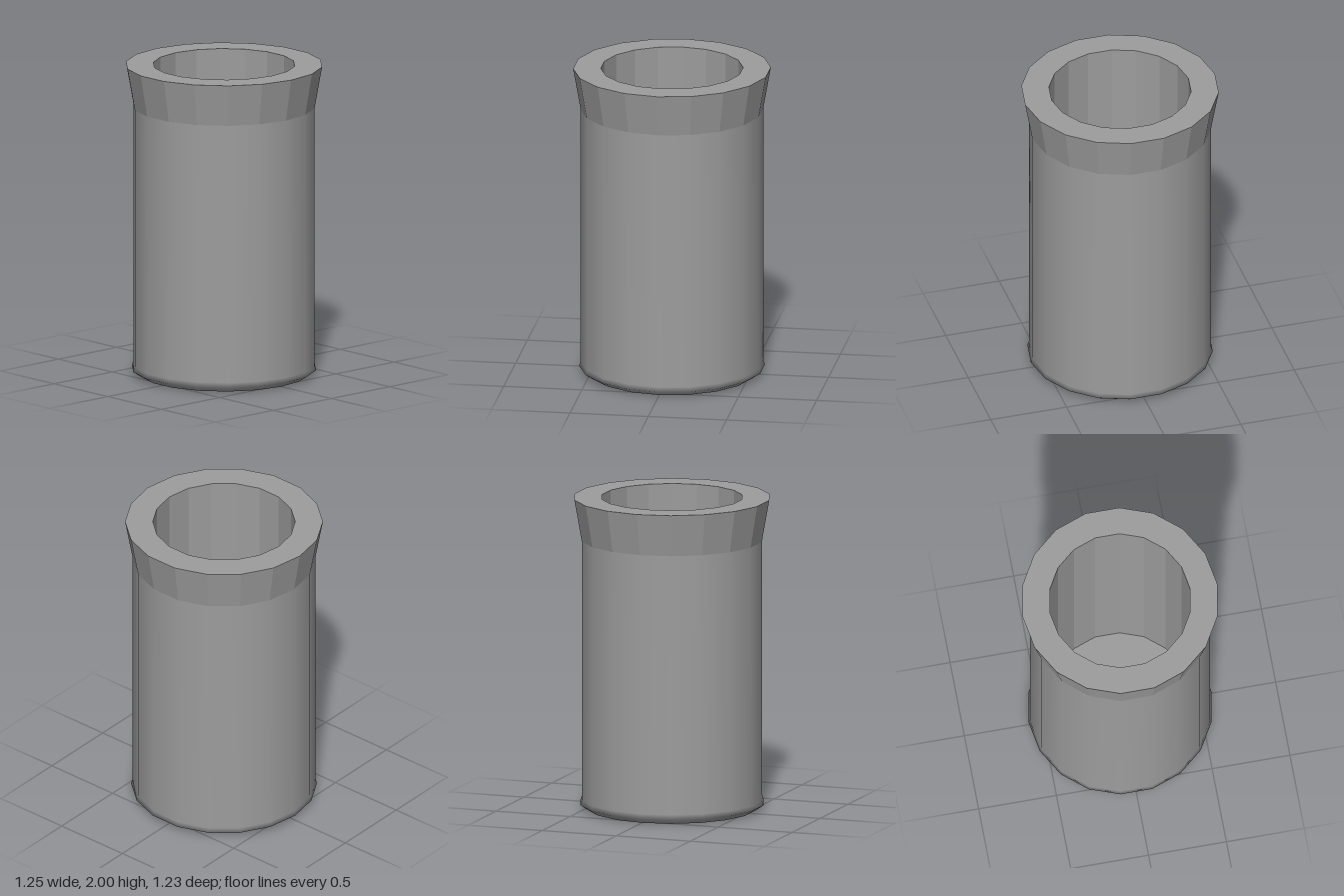
import * as THREE from 'three';

const SIDES = 18;

// Revolve a [radius, height] profile, with a corner on the x axis
function turned(name, profile, flatShading) {
  const points = profile.map(([r, y]) => new THREE.Vector2(r, y));
  const geometry = new THREE.LatheGeometry(points, SIDES, Math.PI / 2);
  const material = new THREE.MeshStandardMaterial({ color: 0x9d9d9d, flatShading });
  const mesh = new THREE.Mesh(geometry, material);
  mesh.name = name;
  return mesh;
}

export function createModel() {
  const group = new THREE.Group();
  group.name = 'cup';

  // Smooth outer wall with a small rounded foot
  group.add(turned('outerWall', [[0.535, 0], [0.587, 0.035], [0.577, 0.065], [0.577, 1.73]], false));

  // Flat underside
  group.add(turned('base', [[0, 0], [0.535, 0]], true));

  // Faceted flared collar and its flat lip
  group.add(turned('collar', [[0.577, 1.73], [0.625, 2], [0.45, 2]], true));

  // Faceted hollow inside with its floor
  group.add(turned('innerWall', [[0.45, 2], [0.45, 0.17], [0, 0.17]], true));

  return group;
}
